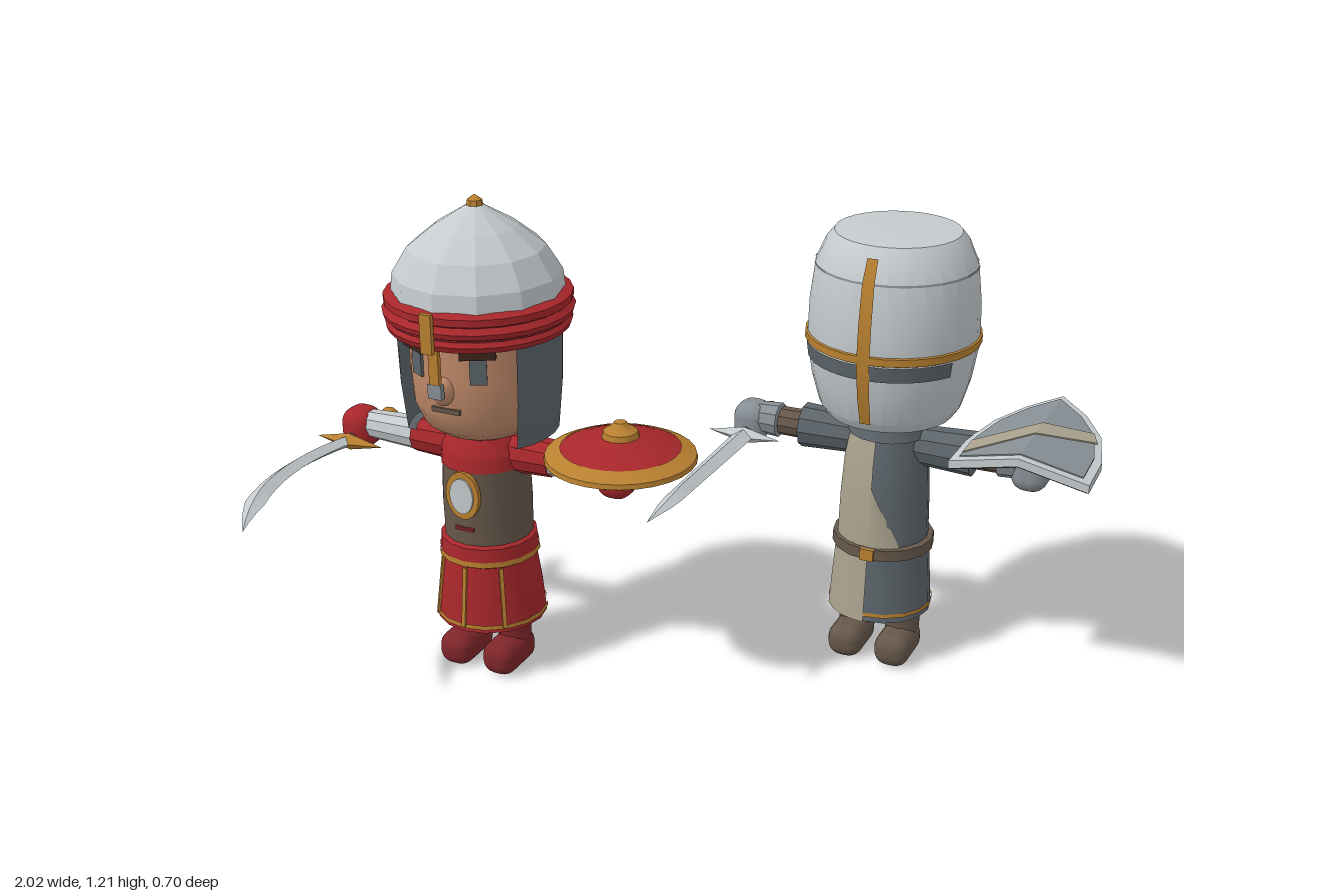
import * as THREE from 'three';
import { toCreasedNormals } from 'three/addons/utils/BufferGeometryUtils.js';
import { RoundedBoxGeometry } from 'three/addons/geometries/RoundedBoxGeometry.js';

const mat = (name, color) => {
  const m = new THREE.MeshStandardMaterial({ color, side: THREE.DoubleSide });
  m.name = name;
  return m;
};
const RED = mat('red cloth', 0xa8272b), DARKRED = mat('dark red leather', 0x7f262a);
const GOLD = mat('gold', 0xb88030), BROWN = mat('brown leather', 0x66574a);
const DARK = mat('dark wood', 0x3c241d), SLATE = mat('slate mail', 0x5c656b);
const GREY = mat('mid grey', 0x878f95), STEEL = mat('pale steel', 0xc4cacd);
const TAN = mat('tan cloth', 0xaaa28e), SKIN = mat('skin', 0xc08a6a);

function add(parent, name, geo, material, x = 0, y = 0, z = 0) {
  const m = new THREE.Mesh(geo, material);
  m.name = name;
  m.position.set(x, y, z);
  parent.add(m);
  return m;
}
// Turned part: points run bottom to top, angle 0 is the front
function lathe(parent, name, material, pts, seg = 20, from = 0, len = Math.PI * 2, crease = 0.5) {
  const g = new THREE.LatheGeometry(pts.map(p => new THREE.Vector2(...p)), seg, from, len);
  return add(parent, name, toCreasedNormals(g, crease), material);
}
const box = (w, h, d) => new THREE.BoxGeometry(w, h, d);
// Place a part on a curved front at an angle
function wrap(m, phi, r) {
  m.position.x = Math.sin(phi) * r;
  m.position.z = Math.cos(phi) * r;
  m.rotation.y = phi;
}

// Diamond-section blade running along +z
function bladeGeometry(len, centre, width, thick) {
  const n = 12, v = [];
  const at = (i, j) => {
    const t = i / n, w = width(t), h = thick * Math.min(1, (1 - t) * 3);
    const c = [[w, 0], [0, h], [-w, 0], [0, -h]][j % 4];
    return [centre(t) + c[0], c[1], t * len];
  };
  for (let i = 0; i < n; i++) for (let j = 0; j < 4; j++) {
    const a = at(i, j), b = at(i, j + 1), c = at(i + 1, j + 1), d = at(i + 1, j);
    v.push(...a, ...b, ...c, ...a, ...c, ...d);
  }
  const g = new THREE.BufferGeometry();
  g.setAttribute('position', new THREE.Float32BufferAttribute(v, 3));
  g.computeVertexNormals();
  return g;
}

function sword(parent, name, blade, guardMat) {
  const s = new THREE.Group();
  s.name = name;
  s.position.set(-0.36, 0.55, 0);
  add(s, 'blade', blade, STEEL, 0, 0, 0.05);
  add(s, 'grip', new THREE.CylinderGeometry(0.018, 0.018, 0.17, 8), BROWN, 0, 0, -0.03).rotation.x = Math.PI / 2;
  add(s, 'pommel', new THREE.SphereGeometry(0.026, 8, 6), GOLD, 0, 0, -0.118);
  add(s, 'guard', new THREE.OctahedronGeometry(1), guardMat, 0, 0, 0.06).scale.set(0.095, 0.022, 0.022);
  parent.add(s);
}

// Legs, boots and hands shared by both figures
function limbs(f, legMat, bootMat, handMat) {
  for (const s of [-1, 1]) {
    add(f, 'leg', new THREE.CylinderGeometry(0.048, 0.042, 0.22, 10), legMat, s * 0.062, 0.16, 0);
    add(f, 'boot', new RoundedBoxGeometry(0.09, 0.086, 0.155, 3, 0.036), bootMat, s * 0.062, 0.043, 0.032);
    add(f, 'hand', new RoundedBoxGeometry(0.09, 0.105, 0.095, 3, 0.038), handMat, s * 0.36, 0.57, 0);
  }
}
function sleeves(f, name, material, pts) {
  for (const s of [-1, 1]) {
    const m = lathe(f, name, material, pts, 10);
    m.position.y = 0.582;
    m.rotation.z = -s * Math.PI / 2;
  }
}

function figure(name, x) {
  const f = new THREE.Group();
  f.name = name;
  f.position.set(x, 0, -0.065);
  f.rotation.y = -0.48;
  return f;
}

function redWarrior() {
  const f = figure('red warrior', -0.478);
  limbs(f, DARKRED, DARKRED, RED);
  // Robe, vest and sash
  lathe(f, 'skirt', RED, [[0.138, 0.135], [0.13, 0.22], [0.112, 0.34]], 16);
  lathe(f, 'skirt trim', GOLD, [[0.141, 0.145], [0.14, 0.156]], 16);
  lathe(f, 'sash', RED, [[0.115, 0.3], [0.124, 0.31], [0.12, 0.355], [0.108, 0.362]], 16);
  lathe(f, 'sash trim', GOLD, [[0.126, 0.308], [0.125, 0.322]], 16);
  lathe(f, 'vest', BROWN, [[0.11, 0.35], [0.112, 0.45], [0.108, 0.565]], 16);
  lathe(f, 'yoke', RED, [[0.111, 0.553], [0.107, 0.59], [0.085, 0.63], [0.05, 0.645]], 16);
  for (const phi of [-0.75, 0, 0.75]) {
    const strip = add(f, 'skirt strip', box(0.01, 0.155, 0.006), GOLD, 0, 0.225, 0);
    wrap(strip, phi, 0.131);
    strip.rotation.order = 'YXZ';
    strip.rotation.x = -0.13;
  }
  // Chest medallion
  const ring = add(f, 'medallion rim', new THREE.CylinderGeometry(1, 1, 0.012, 20), GOLD, 0, 0.495, 0.112);
  const disc = add(f, 'medallion', new THREE.CylinderGeometry(1, 1, 0.012, 20), STEEL, 0, 0.495, 0.117);
  ring.rotation.x = disc.rotation.x = Math.PI / 2;
  ring.scale.set(0.046, 1, 0.062);
  disc.scale.set(0.032, 1, 0.046);
  add(f, 'vest clasp', box(0.05, 0.008, 0.008), DARKRED, 0, 0.405, 0.112);
  // Arms
  sleeves(f, 'upper sleeve', RED, [[0.045, 0.05], [0.05, 0.1], [0.046, 0.19], [0.03, 0.19]]);
  sleeves(f, 'lower sleeve', STEEL, [[0.043, 0.18], [0.036, 0.33]]);
  // Head and mail hood
  lathe(f, 'neck', SKIN, [[0.06, 0.62], [0.06, 0.66]], 12);
  lathe(f, 'head', SKIN, [[0, 0.64], [0.11, 0.642], [0.142, 0.665], [0.165, 0.72], [0.17, 0.8], [0.168, 0.93]], 24, 0, Math.PI * 2, 0.8);
  lathe(f, 'mail hood', SLATE, [[0.165, 0.635], [0.183, 0.64], [0.194, 0.76], [0.198, 0.92]], 18, 0.97, Math.PI * 2 - 1.94);
  for (const s of [-1, 1]) {
    wrap(add(f, 'eye', box(0.04, 0.062, 0.012), SLATE, 0, 0.838, 0), s * 0.5, 0.168);
    wrap(add(f, 'eyebrow', box(0.085, 0.028, 0.03), DARK, 0, 0.885, 0), s * 0.5, 0.168);
  }
  add(f, 'nose', new THREE.SphereGeometry(1, 10, 8), SKIN, 0, 0.785, 0.17).scale.set(0.025, 0.035, 0.032);
  add(f, 'mouth', box(0.075, 0.012, 0.008), BROWN, 0, 0.735, 0.166);
  // Helmet
  lathe(f, 'turban', RED, [[0.19, 0.897], [0.216, 0.9], [0.222, 0.914], [0.212, 0.928], [0.225, 0.934], [0.229, 0.947],
    [0.216, 0.96], [0.224, 0.965], [0.224, 0.982], [0.2, 0.99]], 24);
  lathe(f, 'turban groove', DARKRED, [[0.2165, 0.926], [0.2165, 0.931]], 24);
  lathe(f, 'helmet dome', STEEL, [[0.206, 0.983], [0.2, 1.03], [0.163, 1.09], [0.1, 1.14], [0, 1.2]], 12, 0, Math.PI * 2, 0.05);
  lathe(f, 'finial', GOLD, [[0.022, 1.182], [0.018, 1.2], [0, 1.213]], 8);
  add(f, 'nose guard top', box(0.03, 0.095, 0.012), GOLD, 0, 0.945, 0.23);
  add(f, 'nose guard', box(0.026, 0.1, 0.012), GOLD, 0, 0.86, 0.205);
  add(f, 'nose guard tip', box(0.036, 0.035, 0.014), GREY, 0, 0.797, 0.205);
  // Curved sword
  sword(f, 'curved sword', bladeGeometry(0.54, t => -0.185 * t + 0.265 * t * t,
    t => (0.018 + 0.012 * t) * Math.min(1, (1 - t) * 4), 0.015), GOLD);
  // Round shield, carried flat on the left hand
  const sh = new THREE.Group();
  sh.name = 'round shield';
  sh.position.set(0.37, 0, 0);
  f.add(sh);
  lathe(sh, 'shield back', DARK, [[0, 0.635], [0.172, 0.614]], 28);
  lathe(sh, 'shield rim', GOLD, [[0.172, 0.613], [0.182, 0.618], [0.18, 0.63], [0.143, 0.647]], 28);
  lathe(sh, 'shield face', RED, [[0.145, 0.644], [0.1, 0.662], [0.04, 0.675]], 28);
  lathe(sh, 'shield boss', GOLD, [[0.046, 0.67], [0.042, 0.688], [0.022, 0.7], [0.015, 0.71], [0, 0.712]], 14);
  return f;
}

// Half of a roof-shaped plate from [x, z] corners, sloping away from x = 0
function plate(parent, name, material, pts, y, depth) {
  const shape = new THREE.Shape(pts.map(([x, z]) => new THREE.Vector2(x, -z)));
  const g = new THREE.ExtrudeGeometry(shape, { depth, bevelEnabled: false }).rotateX(-Math.PI / 2);
  const p = g.attributes.position;
  for (let i = 0; i < p.count; i++) p.setY(i, y + p.getY(i) - 0.24 * Math.abs(p.getX(i)));
  g.computeVertexNormals();
  add(parent, name, g, material);
}

function greyKnight() {
  const f = figure('grey knight', 0.51);
  limbs(f, BROWN, BROWN, GREY);
  // Tunic, tan panels on the right half of front and back
  const torso = [[0.113, 0.31], [0.109, 0.45], [0.102, 0.55], [0.088, 0.62], [0.06, 0.64]];
  const skirt = [[0.128, 0.135], [0.122, 0.22], [0.114, 0.33]];
  const grow = (pts, d) => pts.map(([r, y]) => [r + d, y]);
  lathe(f, 'tunic', SLATE, torso, 16);
  lathe(f, 'tunic skirt', SLATE, skirt, 16);
  lathe(f, 'skirt trim', GOLD, [[0.131, 0.15], [0.13, 0.16]], 16);
  lathe(f, 'belt', BROWN, [[0.11, 0.303], [0.127, 0.306], [0.126, 0.334], [0.11, 0.337]], 16);
  add(f, 'belt buckle', box(0.035, 0.03, 0.009), GOLD, 0, 0.32, 0.126);
  for (const from of [-1.05, Math.PI]) {
    lathe(f, 'tan tunic panel', TAN, grow(torso.slice(0, 4), 0.004), 4, from, 1.05);
    lathe(f, 'tan skirt panel', TAN, grow(skirt, 0.005), 4, from, 1.05);
  }
  for (const s of [-1, 1]) {
    // Slanted end of the tan cloth, widening towards the belt
    const g = new THREE.LatheGeometry([[0.117, 0.32], [0.113, 0.45], [0.111, 0.49]].map(p => new THREE.Vector2(...p)), 6, 0, 0.75);
    const p = g.attributes.position;
    for (let i = 0; i < p.count; i++) {
      const r = Math.hypot(p.getX(i), p.getZ(i));
      const a = Math.atan2(p.getX(i), p.getZ(i)) * (0.49 - p.getY(i)) / 0.17;
      p.setX(i, r * Math.sin(a));
      p.setZ(i, r * Math.cos(a));
    }
    g.computeVertexNormals();
    add(f, 'tan slant', g, TAN).scale.z = s;
  }
  // Arms
  sleeves(f, 'mail sleeve', SLATE, [[0.045, 0.05], [0.05, 0.1], [0.056, 0.22], [0.03, 0.215]]);
  sleeves(f, 'bracer', BROWN, [[0.037, 0.19], [0.036, 0.29]]);
  sleeves(f, 'gauntlet cuff', GREY, [[0.034, 0.28], [0.044, 0.285], [0.04, 0.34]]);
  // Great helm
  lathe(f, 'mail collar', SLATE, [[0.1, 0.61], [0.09, 0.64], [0.1, 0.72]], 16);
  const h = new THREE.Group();
  h.name = 'great helm';
  h.scale.z = 1.04;
  f.add(h);
  lathe(h, 'helm shell', STEEL, [[0.155, 0.665], [0.172, 0.69], [0.192, 0.76], [0.206, 0.85], [0.203, 0.95], [0.192, 1.04],
    [0.168, 1.095], [0.15, 1.117], [0.1, 1.121], [0, 1.121]], 28, 0, Math.PI * 2, 0.35);
  lathe(h, 'helm seam', GREY, [[0.194, 1.037], [0.193, 1.042]], 28);
  lathe(h, 'helm band', GOLD, [[0.207, 0.85], [0.211, 0.852], [0.211, 0.87], [0.206, 0.872]], 28);
  lathe(h, 'eye slit', SLATE, [[0.2035, 0.81], [0.2085, 0.848]], 14, -1.05, 2.1);
  lathe(h, 'helm crest strip', GOLD, [[0.176, 0.69], [0.197, 0.76], [0.212, 0.85], [0.208, 0.95], [0.197, 1.04], [0.173, 1.095]], 2, -0.075, 0.15);
  // Straight sword
  sword(f, 'straight sword', bladeGeometry(0.57, () => 0, t => (0.028 - 0.008 * t) * Math.min(1, (1 - t) * 5), 0.017), STEEL);
  // Pointed shield, carried flat on the left hand
  const sh = new THREE.Group();
  sh.name = 'pointed shield';
  sh.position.set(0.37, 0, 0);
  f.add(sh);
  const half = [[0, 0.187], [0.165, 0.177], [0.162, 0.04], [0.13, -0.09], [0.075, -0.175], [0, -0.236]];
  for (const s of [-1, 1]) {
    const side = k => half.map(([x, z]) => [s * x * k, (z + 0.01) * k - 0.01]);
    plate(sh, 'shield rim', STEEL, side(1), 0.652, 0.02);
    plate(sh, 'shield back', DARK, side(0.97), 0.648, 0.004);
    plate(sh, 'shield face', GREY, side(0.88), 0.671, 0.004);
  }
  plate(sh, 'shield band', TAN, [[0, -0.035], [0, 0.035], [-0.144, 0.135], [-0.144, 0.06]], 0.674, 0.004);
  plate(sh, 'shield band', TAN, [[0, -0.035], [0, 0.035], [0.132, -0.04], [0.114, -0.085]], 0.674, 0.004);
  return f;
}

export function createModel() {
  const model = new THREE.Group();
  model.name = 'two warriors';
  model.add(redWarrior(), greyKnight());
  return model;
}
